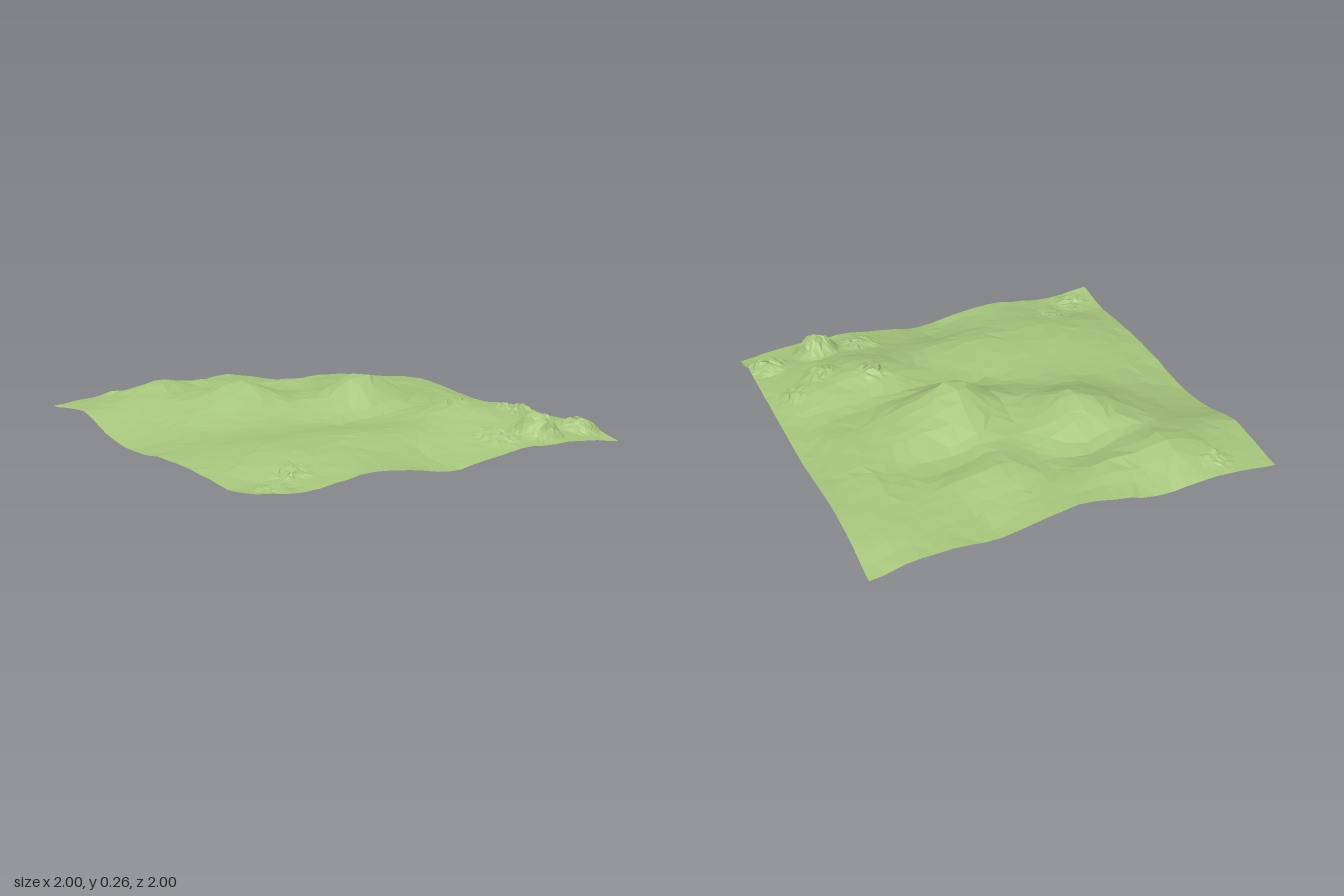
import * as THREE from 'three';

const CELLS = 26;

// Height profiles across x (step 0.2), from the back edge to the front edge, in hundredths
const PROFILES = [
  [7, 9, 9, 7, 10.5, 13.5, 10, 6, 7, 6, 1.5],
  [9, 12.5, 16.5, 17, 16, 13, 11, 9, 9, 8, 5.5],
  [10, 12, 15, 14, 11, 11.5, 15.5, 12.5, 10, 9, 8],
  [4, 7.5, 13.5, 20, 19, 14, 13, 8.5, 9, 11, 7],
  [1, 5, 11, 18.5, 18.5, 15, 20, 17, 13, 11, 5],
  [1, 5, 8, 10.5, 12, 16, 26, 19.5, 13, 10, 4],
  [3, 6, 8, 8.5, 8.5, 8.5, 12, 12, 10, 8, 4.5],
  [3, 7, 9.5, 10, 10.5, 10, 11, 15.5, 15, 12, 5],
  [2.5, 6.5, 9, 9.5, 11, 11, 10.5, 12.5, 13, 9.5, 5.5],
  [1, 2, 5, 7.5, 6, 4, 5.5, 8, 8, 7, 5.5],
  [4, 1.5, 3, 5.5, 3, 0, 2.5, 5, 5, 4, 1.5],
];

// Hill crowns between the profiles: x, z, rise
const CROWNS = [[-0.3, -0.28, 0.032], [-0.53, -0.72, 0.025], [0.21, -0.03, 0.008], [0.5, 0.5, 0.02]];

// Craggy outcrops: x, z, radius, rise
const CRAGS = [
  [0.63, 0.85, 0.13, 0.1], [0.4, 0.84, 0.12, 0.03], [0.91, 0.82, 0.12, 0.045],
  [0.48, 0.41, 0.09, 0.015], [0.71, 0.55, 0.1, 0.025], [0.88, 0.45, 0.08, 0.02],
  [-0.69, 0.78, 0.1, 0.015], [-0.86, 0.9, 0.1, 0.015], [-0.74, -0.9, 0.08, 0.01],
];

// Repeatable noise in -1..1 from a position
function noise(x, z, seed) {
  const s = Math.sin(x * 127.1 + z * 311.7 + seed * 74.7) * 43758.5453;
  return (s - Math.floor(s)) * 2 - 1;
}

function cubic(a, b, c, d, t) {
  return b + 0.5 * t * (c - a + t * (2 * a - 5 * b + 4 * c - d + t * (3 * (b - c) + d - a)));
}

function sample(list, u, read) {
  const last = list.length - 1;
  const i = Math.min(Math.floor(u), last - 1);
  const at = (k) => read(list[Math.min(Math.max(k, 0), last)]);
  return cubic(at(i - 1), at(i), at(i + 1), at(i + 2), u - i);
}

// Smooth rolling ground with its hill crowns
function groundHeight(x, z) {
  let h = sample(PROFILES, (z + 1) * 5, (row) => sample(row, (x + 1) * 5, (v) => v)) / 100;
  for (const [cx, cz, rise] of CROWNS) h += rise * Math.exp(-((x - cx) ** 2 + (z - cz) ** 2) / 0.011);
  return h;
}

// Push a point of a crag outwards, fading to nothing at its rim
function roughen([x, y, z]) {
  let p = [x, y, z];
  for (const [cx, cz, r, rise] of CRAGS) {
    const d = Math.hypot(x - cx, z - cz) / r;
    if (d >= 1) continue;
    const fade = (1 - d * d) ** 1.6;
    const side = Math.max(Math.abs(x), Math.abs(z)) > 0.999 ? 0 : 0.011 * fade;
    p = [
      p[0] + noise(x, z, 1) * side,
      p[1] + fade * rise + noise(x, z, 2) * 0.01 * Math.sqrt(fade),
      p[2] + noise(x, z, 3) * side,
    ];
  }
  p[0] = Math.min(1, Math.max(-1, p[0]));
  p[1] = Math.max(0, p[1]);
  p[2] = Math.min(1, Math.max(-1, p[2]));
  return p;
}

const middle = (a, b) => a.map((v, i) => (v + b[i]) / 2);

function nearCrag(tri) {
  const x = (tri[0][0] + tri[1][0] + tri[2][0]) / 3;
  const z = (tri[0][2] + tri[1][2] + tri[2][2]) / 3;
  return CRAGS.some(([cx, cz, r]) => Math.hypot(x - cx, z - cz) < r + 0.08);
}

// Split a triangle into four, level times
function split(tri, level) {
  if (level === 0) return [tri];
  const [a, b, c] = tri;
  const ab = middle(a, b), bc = middle(b, c), ca = middle(c, a);
  const parts = [[a, ab, ca], [ab, b, bc], [ca, bc, c], [ab, bc, ca]];
  return parts.flatMap((part) => split(part, level - 1));
}

function buildTerrain() {
  // Slightly irregular grid with straight outer edges
  const grid = [];
  const step = 2 / CELLS;
  for (let j = 0; j <= CELLS; j++) {
    grid.push([]);
    for (let i = 0; i <= CELLS; i++) {
      let x = -1 + i * step, z = -1 + j * step;
      if (i > 0 && i < CELLS) x += noise(i, j, 5) * step * 0.28;
      if (j > 0 && j < CELLS) z += noise(i, j, 6) * step * 0.28;
      const y = groundHeight(x, z) + noise(i, j, 7) * 0.003;
      grid[j].push([x, Math.max(0, y), z]);
    }
  }

  // Two triangles per cell, refined around the crags
  const triangles = [];
  for (let j = 0; j < CELLS; j++) {
    for (let i = 0; i < CELLS; i++) {
      const a = grid[j][i], b = grid[j + 1][i], c = grid[j + 1][i + 1], d = grid[j][i + 1];
      const pair = noise(i, j, 8) > 0 ? [[a, b, c], [a, c, d]] : [[a, b, d], [b, c, d]];
      for (const tri of pair) triangles.push(...split(tri, nearCrag(tri) ? 2 : 0));
    }
  }

  const geometry = new THREE.BufferGeometry();
  const points = triangles.flatMap((tri) => tri.flatMap(roughen));
  geometry.setAttribute('position', new THREE.Float32BufferAttribute(points, 3));
  geometry.computeVertexNormals(); // unshared corners give flat facets
  return geometry;
}

export function createModel() {
  const group = new THREE.Group();
  group.name = 'hillyLandscape';
  const grass = new THREE.MeshStandardMaterial({ color: 0xa6c57c, side: THREE.DoubleSide });
  grass.name = 'grassGreen';
  const terrain = new THREE.Mesh(buildTerrain(), grass);
  terrain.name = 'terrain';
  group.add(terrain);
  return group;
}
